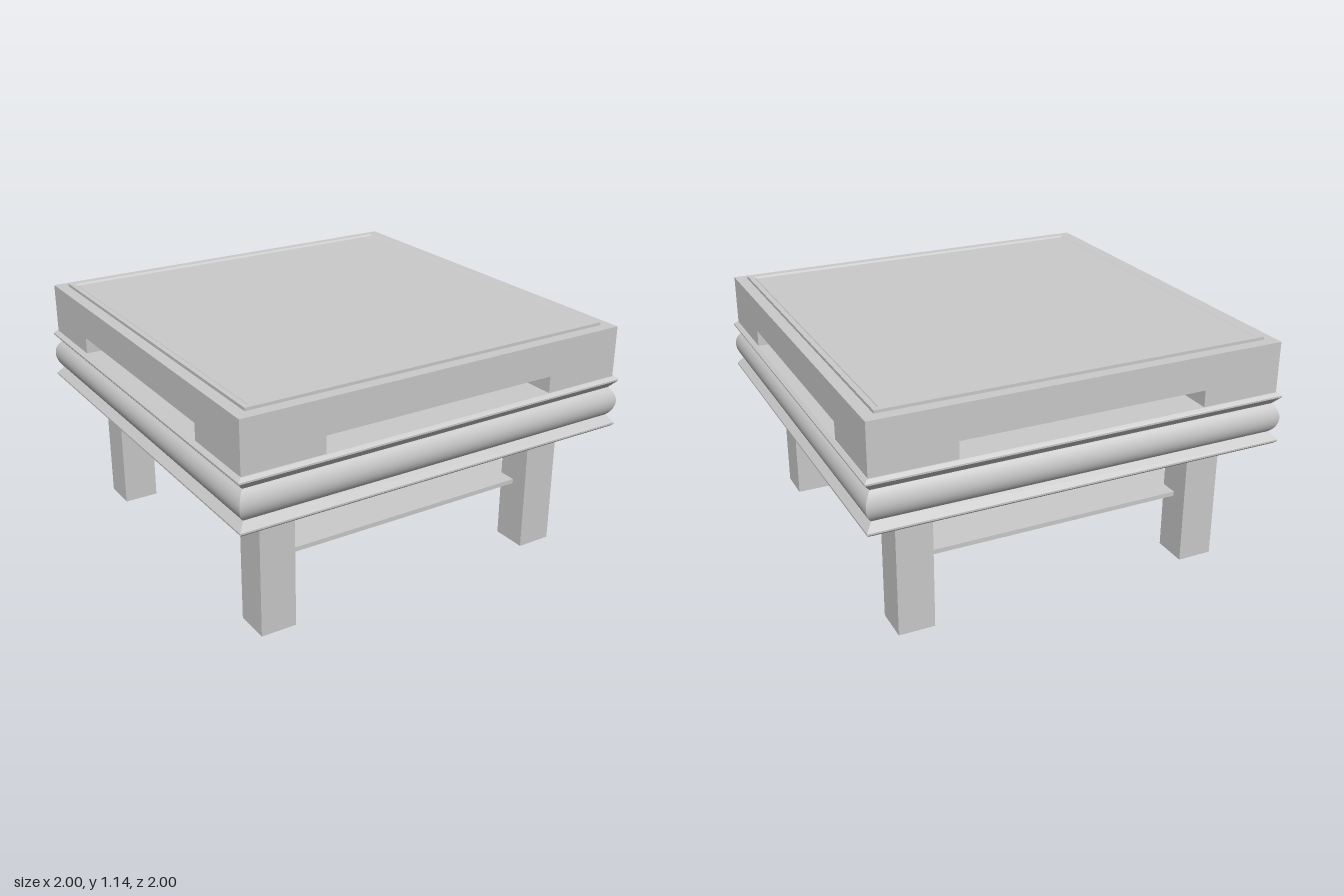
import * as THREE from 'three';
import { toCreasedNormals } from 'three/addons/utils/BufferGeometryUtils.js';

const material = new THREE.MeshStandardMaterial({ color: 0xcccccc });

function addMesh(parent, name, geometry, x = 0, y = 0, z = 0) {
  const mesh = new THREE.Mesh(geometry, material);
  mesh.name = name;
  mesh.position.set(x, y, z);
  parent.add(mesh);
  return mesh;
}

// Sweeps a [half width, height] profile, bottom to top, around a square plan
function squareSweep(profile) {
  const points = profile.map(([half, y]) => new THREE.Vector2(half * Math.SQRT2, y));
  const geometry = new THREE.LatheGeometry(points, 4, Math.PI / 4);
  return toCreasedNormals(geometry, Math.PI / 9);
}

export function createModel() {
  const table = new THREE.Group();
  table.name = 'table';

  // Rounded middle of the apron moulding, as an arc between two grooves
  const bulge = [];
  const low = 0.69, high = 0.83, depth = 0.03, steps = 12;
  const radius = (((high - low) / 2) ** 2 + depth ** 2) / (2 * depth);
  const sweep = Math.asin((high - low) / 2 / radius);
  for (let i = 0; i <= steps; i++) {
    const a = -sweep + (2 * sweep * i) / steps;
    bulge.push([1 - radius + radius * Math.cos(a), (low + high) / 2 + radius * Math.sin(a)]);
  }

  // Moulded apron with a lip below and above the bulge
  addMesh(table, 'apron', squareSweep([
    [0, 0.635], [0.99, 0.635], [1, 0.645], [1, 0.653],
    ...bulge,
    [0.995, 0.86], [1, 0.865], [1, 0.873], [0.985, 0.887], [0, 0.887],
  ]));

  // Table top with a thin raised rim around a sunken panel
  addMesh(table, 'tableTop', squareSweep([
    [0, 0.967], [0.98, 0.967], [0.98, 1.13], [0.925, 1.13], [0.925, 1.144],
    [0.9, 1.144], [0.889, 1.136], [0, 1.136],
  ]));

  // Corner blocks leave an open slot on each side; legs stand below them
  for (const sx of [-1, 1]) {
    for (const sz of [-1, 1]) {
      addMesh(table, 'cornerBlock', new THREE.BoxGeometry(0.39, 0.08, 0.39), sx * 0.785, 0.927, sz * 0.785);
      addMesh(table, 'leg', new THREE.BoxGeometry(0.172, 0.635, 0.172), sx * 0.728, 0.3175, sz * 0.728);
    }
  }

  // Lower shelf let into the legs
  addMesh(table, 'shelf', new THREE.BoxGeometry(1.456, 0.022, 1.456), 0, 0.321, 0);

  return table;
}
